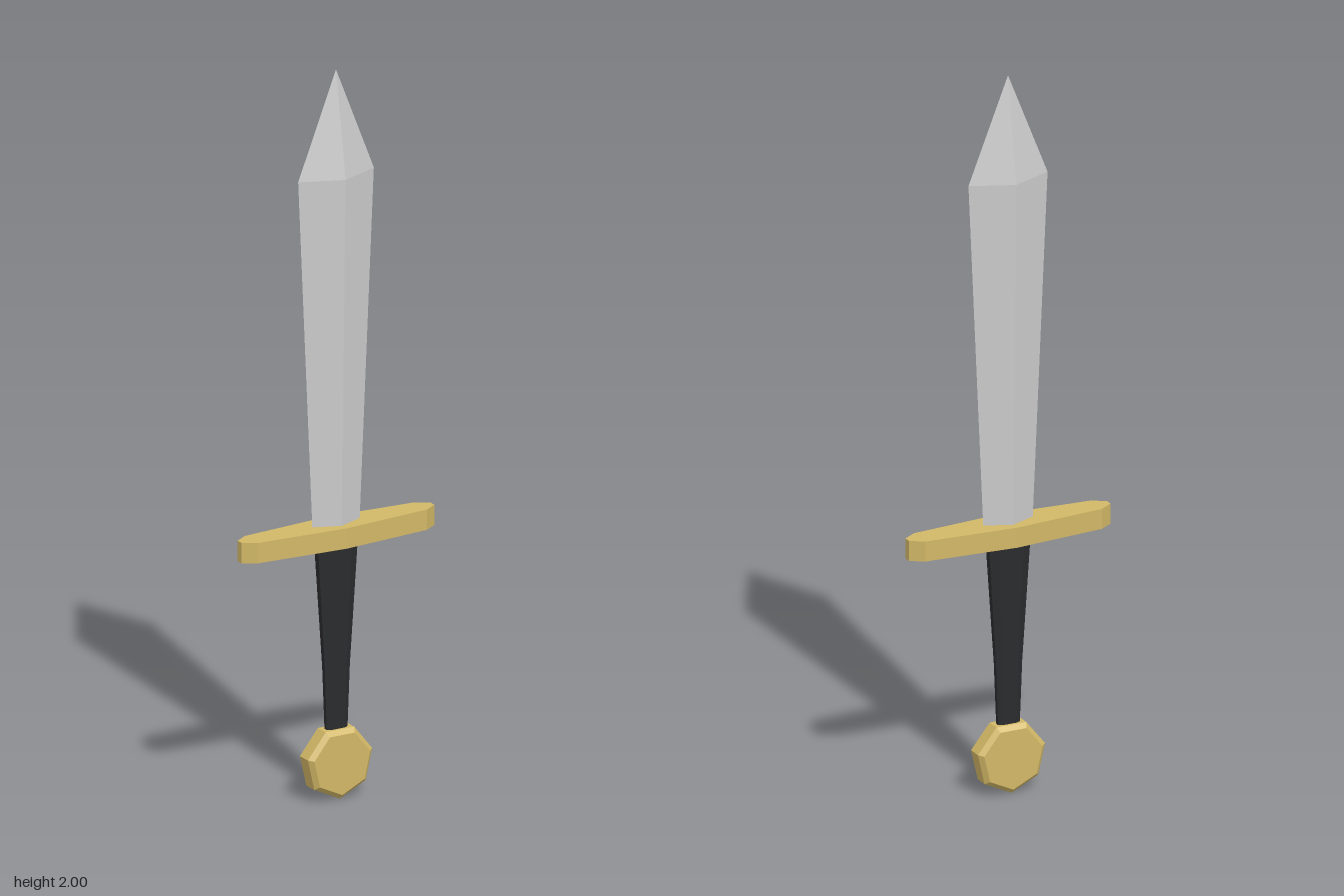
import * as THREE from 'three';

// Skin an outline of [x, z] points through rings of [y, scaleX, scaleZ], with flat caps.
function loft(outline, rings) {
  const pos = [];
  const n = outline.length;
  const at = (r, j) => {
    const [y, sx, sz] = rings[r];
    const [x, z] = outline[j % n];
    return [x * sx, y, z * sz];
  };
  const tri = (...pts) => pts.forEach((p) => pos.push(...p));
  const last = rings.length - 1;
  for (let j = 0; j < n; j++) {
    for (let r = 0; r < last; r++) {
      tri(at(r, j), at(r + 1, j), at(r, j + 1));
      if (rings[r + 1][1] > 0) tri(at(r + 1, j), at(r + 1, j + 1), at(r, j + 1));
    }
    tri([0, rings[0][0], 0], at(0, j), at(0, j + 1));
    if (rings[last][1] > 0) tri([0, rings[last][0], 0], at(last, j + 1), at(last, j));
  }
  const geo = new THREE.BufferGeometry();
  geo.setAttribute('position', new THREE.Float32BufferAttribute(pos, 3));
  geo.computeVertexNormals();
  return geo;
}

// Regular polygon outline of radius 1, first corner at the given angle.
function polygon(sides, start) {
  return Array.from({ length: sides }, (_, i) => {
    const a = start + (i / sides) * Math.PI * 2;
    return [Math.cos(a), Math.sin(a)];
  });
}

export function createModel() {
  const group = new THREE.Group();
  const steel = new THREE.MeshStandardMaterial({ color: 0xcccccc, flatShading: true });
  const gold = new THREE.MeshStandardMaterial({ color: 0xd1b766, flatShading: true });
  const leather = new THREE.MeshStandardMaterial({ color: 0x2a2b2d, flatShading: true });
  const add = (name, geometry, material) => {
    const mesh = new THREE.Mesh(geometry, material);
    mesh.name = name;
    group.add(mesh);
    return mesh;
  };

  // Diamond-section blade, widening towards a pointed tip
  add('blade', loft(polygon(4, 0), [
    [0.73, 0.071, 0.029],
    [1.71, 0.115, 0.048],
    [2.0, 0, 0],
  ]), steel);

  // Crossguard: a long bar tapering to chamfered ends
  const half = [[0.293, -0.01], [0.293, 0.01], [0.257, 0.033], [0, 0.053], [-0.257, 0.033]];
  const guard = [...half, [-0.293, 0.01], [-0.293, -0.01], [-0.257, -0.033], [0, -0.053], [0.257, -0.033]];
  add('crossguard', loft(guard, [[0.697, 1, 1], [0.753, 1, 1]]), gold);

  // Flattened eight-sided grip, narrowing towards the pommel
  const flat = [[1, -0.45], [1, 0.45], [0.6, 1], [-0.6, 1], [-1, 0.45], [-1, -0.45], [-0.6, -1], [0.6, -1]];
  add('grip', loft(flat, [
    [0.17, 0.031, 0.012],
    [0.36, 0.038, 0.015],
    [0.54, 0.05, 0.018],
    [0.71, 0.061, 0.022],
  ]), leather);

  // Seven-sided pommel with bevelled rims, corner pointing down
  const R = 0.1;
  const rim = 0.087;
  const pommel = add('pommel', loft(polygon(7, Math.PI / 2), [
    [-0.032, rim, rim],
    [-0.02, R, R],
    [0.02, R, R],
    [0.032, rim, rim],
  ]), gold);
  pommel.rotation.x = Math.PI / 2;
  pommel.position.y = R;

  return group;
}
